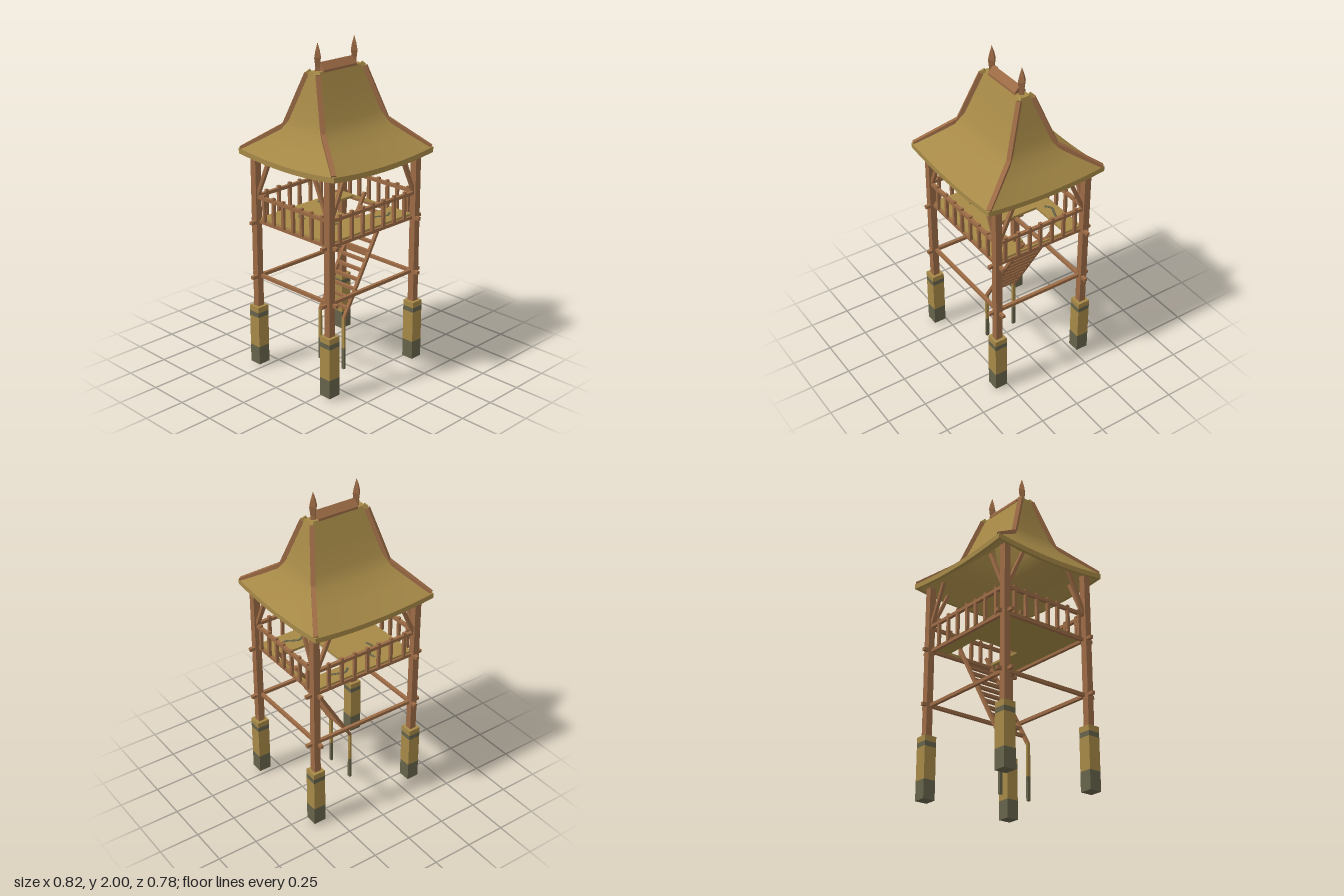
import * as THREE from 'three';

export function createModel() {
  const model = new THREE.Group();
  model.name = 'watchtower';
  const material = (name, color, side = THREE.FrontSide) => {
    const m = new THREE.MeshStandardMaterial({ color, side });
    m.name = name;
    return m;
  };
  const wood = material('wood', 0x9c6b45);
  const thatch = material('thatch', 0xa68947);
  const mud = material('mud', 0x66644a);

  const add = (name, geometry, mat, parent = model) => {
    const mesh = new THREE.Mesh(geometry, mat);
    mesh.name = name;
    parent.add(mesh);
    return mesh;
  };
  const box = (name, mat, w, h, d, x, y, z, parent) => {
    const mesh = add(name, new THREE.BoxGeometry(w, h, d), mat, parent);
    mesh.position.set(x, y, z);
    return mesh;
  };
  // Square bar from point a to point b
  const bar = (name, mat, a, b, w, h = w, parent = model) => {
    const p = new THREE.Vector3(...a), q = new THREE.Vector3(...b);
    const mesh = add(name, new THREE.BoxGeometry(w, h, p.distanceTo(q)), mat, parent);
    mesh.position.copy(p).add(q).multiplyScalar(0.5);
    mesh.lookAt(q);
    return mesh;
  };

  // Corner posts, muddy footings, braces and roof hips
  const px = 0.354, pz = 0.302;
  for (const sx of [-1, 1]) {
    for (const sz of [-1, 1]) {
      const corner = new THREE.Group();
      corner.name = 'corner';
      model.add(corner);
      const x = sx * px, z = sz * pz;
      box('post', wood, 0.042, 0.96, 0.042, x, 0.86, z, corner);
      const levels = [[0.015, 0.13, mud], [0.13, 0.325, thatch], [0.325, 0.355, mud], [0.355, 0.39, thatch]];
      for (const [y0, y1, mat] of levels) {
        box('footing', mat, 0.078, y1 - y0, 0.078, x, (y0 + y1) / 2, z, corner);
      }
      bar('brace', wood, [sx * 0.345, 1.075, z], [sx * 0.225, 1.335, z], 0.02, 0.02, corner);
      bar('brace', wood, [x, 1.075, sz * 0.295], [x, 1.335, sz * 0.175], 0.02, 0.02, corner);
      const hip = [[0.396, 1.365, 0.378], [0.257, 1.522, 0.156], [0.186, 1.825, 0.045], [0.172, 1.842, 0.028]]
        .map(([hx, hy, hz]) => [sx * hx, hy, sz * hz]);
      bar('lowerHip', wood, hip[0], hip[1], 0.026, 0.026, corner);
      bar('upperHip', wood, hip[1], hip[2], 0.026, 0.026, corner);
      bar('hipTip', thatch, hip[2], hip[3], 0.02, 0.02, corner);
    }
  }

  // Tie beams at two heights
  for (const y of [0.582, 0.927]) {
    for (const s of [-1, 1]) {
      box('longBeam', wood, 0.82, 0.02, 0.02, 0, y, s * 0.293);
      box('sideBeam', wood, 0.02, 0.02, 0.705, s * 0.342, y, 0);
    }
  }

  // Floor with a ladder opening
  const floor = new THREE.Shape();
  floor.moveTo(-0.34, -0.29).lineTo(0.34, -0.29).lineTo(0.34, 0.29).lineTo(-0.34, 0.29).closePath();
  const opening = new THREE.Path();
  opening.moveTo(0.05, -0.12).lineTo(0.05, 0.18).lineTo(0.33, 0.18).lineTo(0.33, -0.12).closePath();
  floor.holes.push(opening);
  const floorGeo = new THREE.ExtrudeGeometry(floor, { depth: 0.015, bevelEnabled: false });
  floorGeo.rotateX(-Math.PI / 2);
  add('floor', floorGeo, thatch).position.y = 0.934;

  // Wavy stains on the floor
  for (const [cx, cz, turn] of [[-0.13, 0.1, 0.3], [-0.15, -0.15, 1.2], [0.17, 0.2, 0], [0.15, -0.235, 0.1]]) {
    const points = [-2, -1, 0, 1, 2].map((i) => new THREE.Vector3(i * 0.04, 0, 0.018 * Math.sin(i * 1.7)));
    const stain = add('floorStain', new THREE.TubeGeometry(new THREE.CatmullRomCurve3(points), 16, 0.008, 5), mud);
    stain.scale.y = 0.5;
    stain.position.set(cx, 0.951, cz);
    stain.rotation.y = turn;
  }

  // Railings
  const along = [-0.275, -0.178, -0.09, -0.01, 0.08, 0.17, 0.26];
  for (const s of [-1, 1]) {
    box('frontRail', wood, 0.68, 0.02, 0.02, 0, 1.082, s * pz);
    box('sideRail', wood, 0.02, 0.02, 0.58, s * px, 1.082, 0);
    for (const t of along) {
      box('frontBaluster', wood, 0.018, 0.17, 0.018, t, 1.02, s * pz);
      box('sideBaluster', wood, 0.018, 0.17, 0.018, s * px, 1.02, -t * 0.9);
    }
  }

  // Ladder with upright feet
  const ladder = new THREE.Group();
  ladder.name = 'ladder';
  model.add(ladder);
  const foot = [-0.05, 0.33], head = [0.335, 0.99];
  for (const z of [0.113, -0.087]) {
    bar('ladderRail', wood, [...foot, z], [...head, z], 0.02, 0.018, ladder);
    box('ladderFoot', mud, 0.014, 0.14, 0.02, foot[0], 0.07, z, ladder);
    box('ladderLeg', thatch, 0.014, 0.195, 0.02, foot[0], 0.2375, z, ladder);
  }
  for (let i = 0; i < 11; i++) {
    const y = 0.39 + i * 0.052;
    const x = foot[0] + (y - foot[1]) * (head[0] - foot[0]) / (head[1] - foot[1]);
    box('rung', wood, 0.02, 0.018, 0.2, x, y, 0.013, ladder);
  }

  // Four-sided roof surface from rings [halfX, halfZ, y, sag at mid-side]
  const roofSurface = (name, rings) => {
    const n = 10;
    for (let side = 0; side < 4; side++) {
      const positions = [], index = [];
      rings.forEach(([hx, hz, y, sag], r) => {
        for (let i = 0; i <= n; i++) {
          const u = (2 * i) / n - 1;
          const dir = side < 2 ? 1 : -1;
          const h = y - sag * (1 - u * u);
          if (side % 2 === 0) positions.push(dir * u * hx, h, dir * hz);
          else positions.push(dir * hx, h, -dir * u * hz);
          if (r > 0 && i > 0) {
            const d = r * (n + 1) + i, c = d - 1, b = d - n - 1, a = b - 1;
            index.push(a, b, d, a, d, c);
          }
        }
      });
      const g = new THREE.BufferGeometry();
      g.setAttribute('position', new THREE.Float32BufferAttribute(positions, 3));
      g.setIndex(index);
      g.computeVertexNormals();
      add(name, g, thatch);
    }
  };
  const outer = [
    [0.405, 0.388, 1.366, 0.026], [0.335, 0.275, 1.437, 0.018], [0.277, 0.182, 1.5, 0.01],
    [0.245, 0.135, 1.57, 0.004], [0.215, 0.082, 1.7, 0], [0.185, 0.03, 1.838, 0],
  ];
  const rim = [0.405, 0.388, 1.335, 0.026], innerRim = [0.385, 0.368, 1.335, 0.026];
  const inner = outer.slice(1).map(([hx, hz, y, sag]) => [hx - 0.015, hz - 0.015, y - 0.015, sag]);
  roofSurface('roofSlope', outer);
  roofSurface('eaveEdge', [rim, outer[0]]);
  roofSurface('eaveUnderside', [innerRim, rim]);
  roofSurface('roofLining', [...inner.reverse(), innerRim]);
  box('roofTop', thatch, 0.37, 0.008, 0.06, 0, 1.834, 0);

  // Ridge cap with a carved finial at each end
  const cap = new THREE.Shape();
  cap.moveTo(-0.035, 1.832).lineTo(0.035, 1.832).lineTo(0.035, 1.846).lineTo(0, 1.886).lineTo(-0.035, 1.846).closePath();
  const capGeo = new THREE.ExtrudeGeometry(cap, { depth: 0.262, bevelEnabled: false });
  capGeo.translate(0, 0, -0.131).rotateY(Math.PI / 2);
  add('ridgeCap', capGeo, wood);
  const finialProfile = [[0, 1.828], [0.02, 1.83], [0.018, 1.86], [0.026, 1.915], [0.018, 1.95], [0, 2]]
    .map(([r, y]) => new THREE.Vector2(r, y));
  for (const s of [-1, 1]) {
    const g = new THREE.LatheGeometry(finialProfile, 4).toNonIndexed();
    g.computeVertexNormals();
    add('finial', g, wood).position.x = s * 0.145;
  }
  return model;
}
